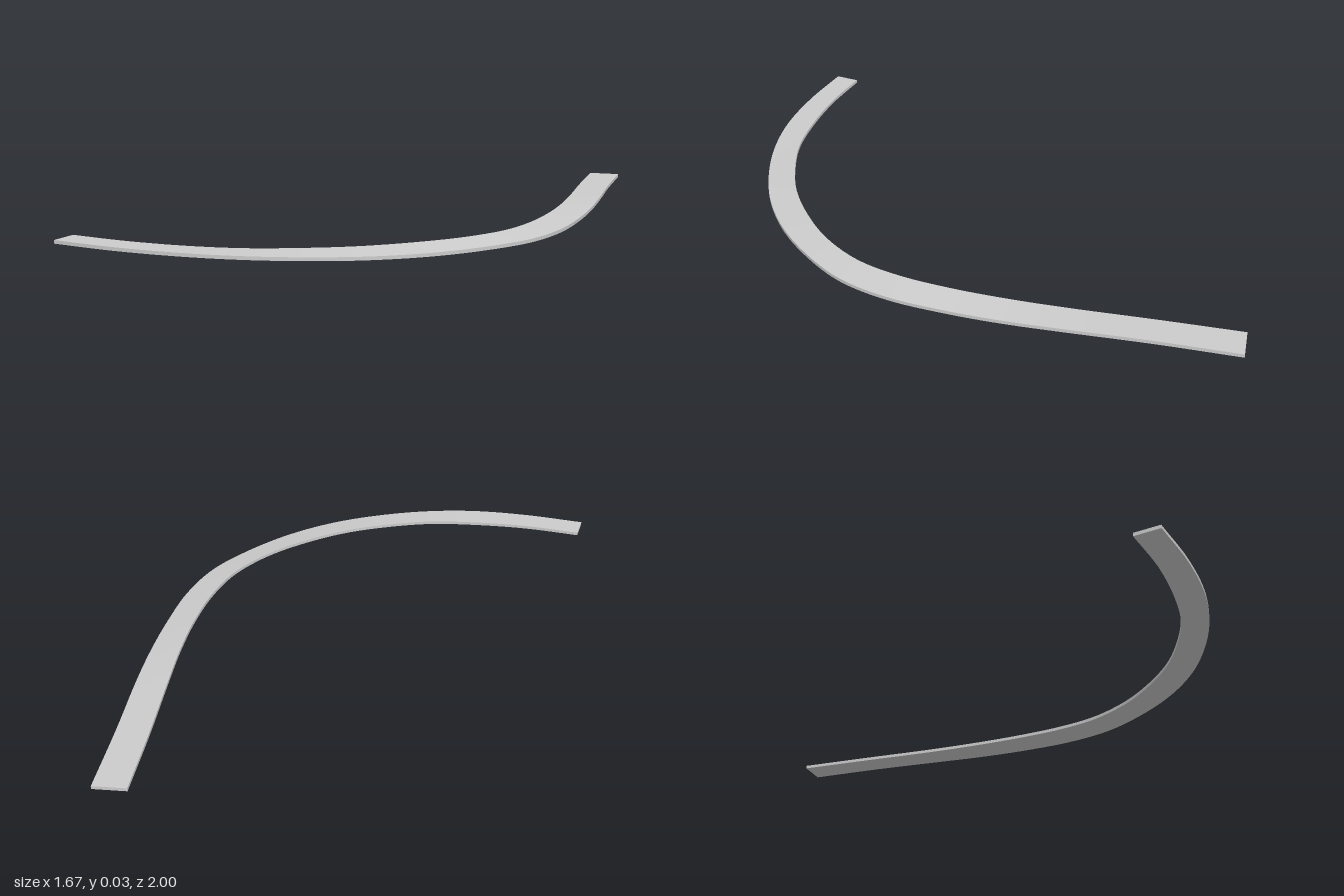
import * as THREE from 'three';

// Stations along the strip: inner x, inner z, outer x, outer z, bank (0..1)
const STATIONS = [
  [0.712, -1, 0.835, -1, 0],
  [0.708, -0.7, 0.828, -0.7, 0],
  [0.71, -0.4, 0.828, -0.4, 0.2],
  [0.708, -0.2, 0.822, -0.2, 0.6],
  [0.694, 0, 0.805, 0, 0.9],
  [0.66, 0.2, 0.77, 0.22, 1],
  [0.6, 0.37, 0.7, 0.41, 1],
  [0.49, 0.525, 0.575, 0.58, 1],
  [0.35, 0.65, 0.42, 0.73, 0.9],
  [0.18, 0.76, 0.235, 0.85, 0.7],
  [0, 0.833, 0.03, 0.932, 0.45],
  [-0.18, 0.88, -0.17, 0.98, 0.2],
  [-0.38, 0.893, -0.37, 0.997, 0],
  [-0.6, 0.882, -0.6, 0.982, 0],
  [-0.82, 0.845, -0.84, 0.94, 0],
];
const STEPS = 84;
const BASE = 0.01, THICKNESS = 0.0125;

export function createModel() {
  const group = new THREE.Group();
  group.name = 'curvedTrack';

  // Smooth edge curves; the inner edge rises and the outer one sinks in the bend
  const inner = new THREE.CatmullRomCurve3(
    STATIONS.map(([x, z, , , b]) => new THREE.Vector3(x, BASE + 0.008 * b, z)));
  const outer = new THREE.CatmullRomCurve3(
    STATIONS.map(([, , x, z, b]) => new THREE.Vector3(x, BASE - 0.009 * b, z)));

  // Four corners of the section at each step, in order around it
  const up = new THREE.Vector3(0, THICKNESS, 0);
  const rings = [];
  for (let i = 0; i <= STEPS; i++) {
    const a = inner.getPoint(i / STEPS), b = outer.getPoint(i / STEPS);
    rings.push([a, a.clone().add(up), b.clone().add(up), b]);
  }

  // Each side of the section is its own band, so long edges stay sharp
  const positions = [], index = [];
  for (let s = 0; s < 4; s++) {
    const start = positions.length / 3;
    rings.forEach((ring, i) => {
      positions.push(...ring[s].toArray(), ...ring[(s + 1) % 4].toArray());
      if (i === STEPS) return;
      const k = start + 2 * i;
      index.push(k, k + 1, k + 2, k + 1, k + 3, k + 2);
    });
  }

  // End caps
  [rings[0], [...rings[STEPS]].reverse()].forEach((ring) => {
    const k = positions.length / 3;
    ring.forEach((p) => positions.push(...p.toArray()));
    index.push(k, k + 2, k + 1, k, k + 3, k + 2);
  });

  const geometry = new THREE.BufferGeometry();
  geometry.setAttribute('position', new THREE.Float32BufferAttribute(positions, 3));
  geometry.setIndex(index);
  geometry.computeVertexNormals();

  const strip = new THREE.Mesh(geometry, new THREE.MeshStandardMaterial({
    color: 0xcccccc, side: THREE.DoubleSide,
  }));
  strip.name = 'roadStrip';
  group.add(strip);
  return group;
}
